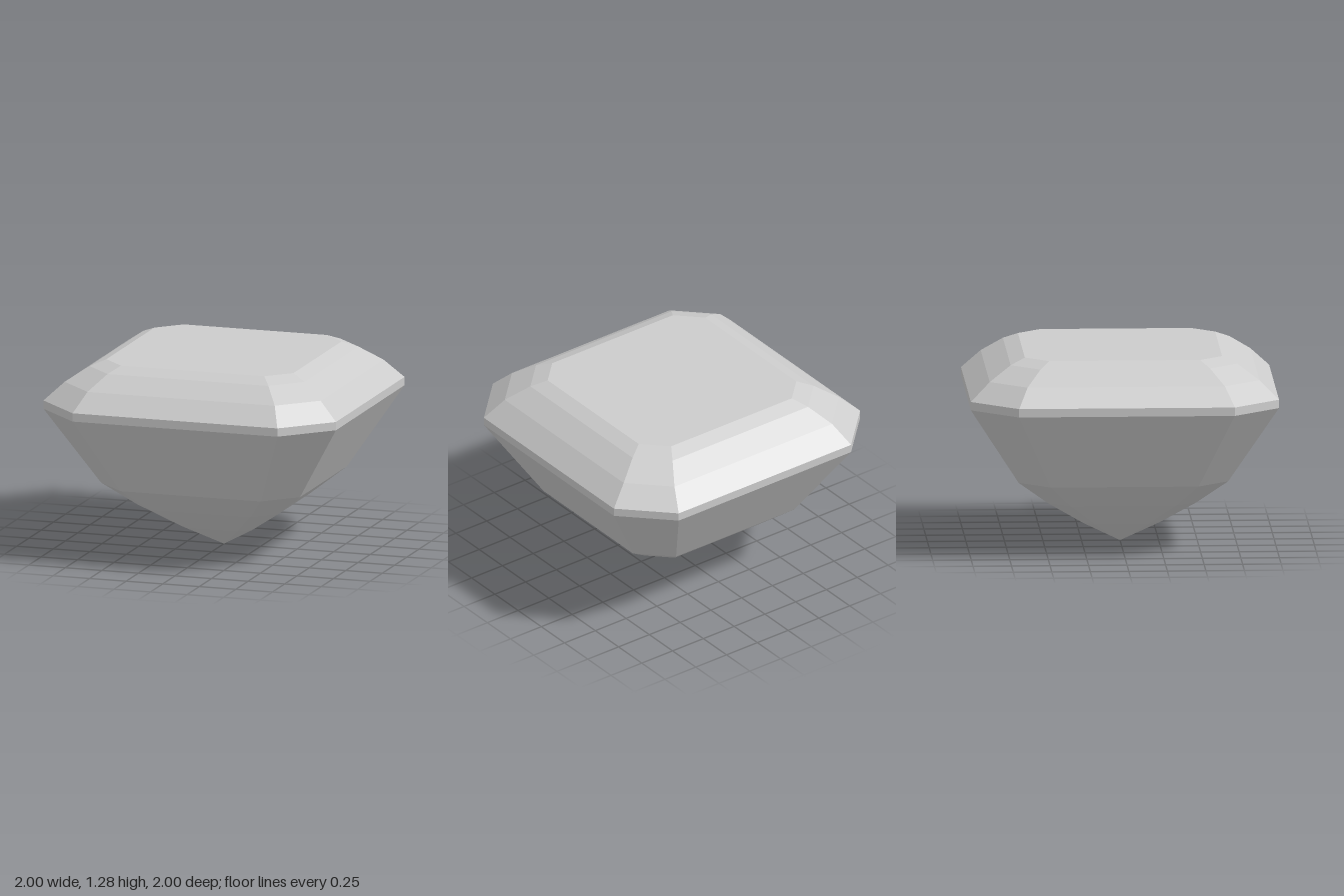
import * as THREE from 'three';

// Clipped-square ring: half = half width, cut = where the corner cut starts
function ring([half, cut, y]) {
  return [
    [-cut, half], [cut, half], [half, cut], [half, -cut],
    [cut, -half], [-cut, -half], [-half, -cut], [-half, cut],
  ].map(([x, z]) => [x, y, z]);
}

// Facets between successive rings, listed from bottom to top
function facetBand(levels, closeTop = false) {
  const rings = levels.map(ring);
  const pos = [];
  const tri = (a, b, c) => pos.push(...a, ...b, ...c);
  for (let r = 0; r < rings.length - 1; r++) {
    const lower = rings[r], upper = rings[r + 1];
    for (let i = 0; i < 8; i++) {
      const j = (i + 1) % 8;
      if (levels[r][0] > 0) tri(lower[i], lower[j], upper[j]);
      tri(lower[i], upper[j], upper[i]);
    }
  }
  if (closeTop) {
    const top = rings[rings.length - 1];
    for (let i = 1; i < 7; i++) tri(top[0], top[i], top[i + 1]);
  }
  const geo = new THREE.BufferGeometry();
  geo.setAttribute('position', new THREE.Float32BufferAttribute(pos, 3));
  geo.computeVertexNormals(); // unshared corners give flat facets
  return geo;
}

export function createModel() {
  const gem = new THREE.Group();
  gem.name = 'gemstone';
  const stone = new THREE.MeshStandardMaterial({ color: 0xcccccc });
  stone.name = 'stone grey';

  const add = (name, geometry) => {
    const mesh = new THREE.Mesh(geometry, stone);
    mesh.name = name;
    gem.add(mesh);
  };

  // Pointed underside with steps that grow shallower toward the tip
  add('pavilion', facetBand([
    [0, 0, 0], [0.25, 0.175, 0.145], [0.48, 0.34, 0.3],
    [0.68, 0.48, 0.46], [1, 0.7, 0.975],
  ]));

  // Thin upright belt at the widest point
  add('girdle', facetBand([[1, 0.7, 0.975], [1, 0.7, 1.03]]));

  // Stepped upper slopes and the flat table
  add('crown', facetBand([
    [1, 0.7, 1.03], [0.875, 0.64, 1.15], [0.735, 0.55, 1.245], [0.64, 0.49, 1.285],
  ], true));

  return gem;
}
